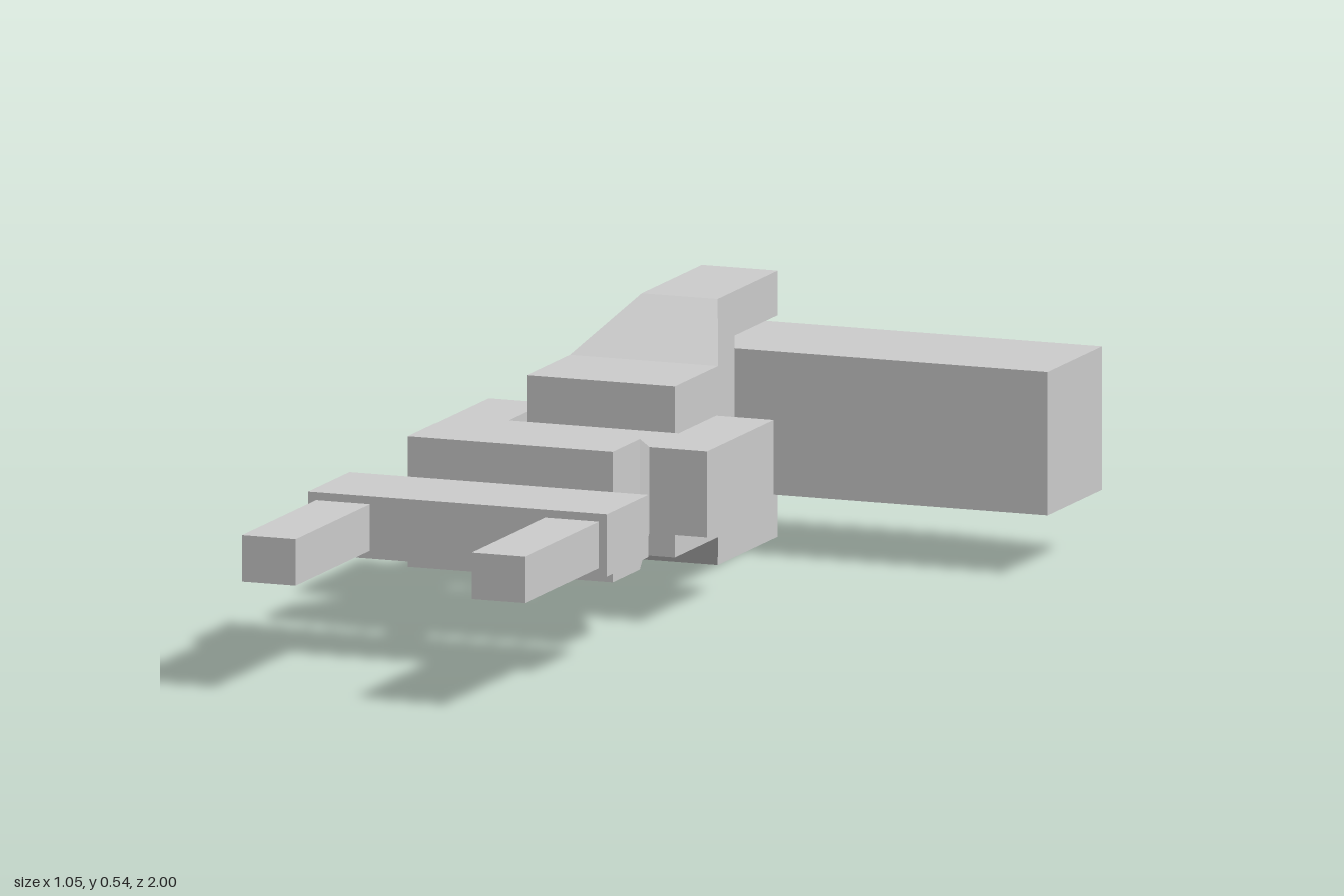
import * as THREE from 'three';

const CX = -0.21, CY = 0.27; // axis of the arm, running along z

function addMesh(parent, name, geometry) {
  const material = new THREE.MeshStandardMaterial({ color: 0xcccccc, flatShading: true });
  const mesh = new THREE.Mesh(geometry, material);
  mesh.name = name;
  parent.add(mesh);
  return mesh;
}

// Box given by its extents on each axis
function addBox(parent, name, [x0, x1], [y0, y1], [z0, z1]) {
  const mesh = addMesh(parent, name, new THREE.BoxGeometry(x1 - x0, y1 - y0, z1 - z0));
  mesh.position.set((x0 + x1) / 2, (y0 + y1) / 2, (z0 + z1) / 2);
}

// Capped body through rectangular sections [z, halfWidth, halfHeight], ordered by rising z
function loft(sections) {
  const rings = sections.map(([z, w, h]) =>
    [[-w, -h], [w, -h], [w, h], [-w, h]].map(([x, y]) => [CX + x, CY + y, z]));
  const pos = [];
  const quad = (a, b, c, d) => pos.push(...a, ...b, ...c, ...a, ...c, ...d);
  for (let i = 0; i < rings.length - 1; i++) {
    const back = rings[i], front = rings[i + 1];
    for (let k = 0; k < 4; k++) {
      const n = (k + 1) % 4;
      quad(back[k], back[n], front[n], front[k]);
    }
  }
  quad(...rings[rings.length - 1]);
  quad(...[...rings[0]].reverse());
  const geometry = new THREE.BufferGeometry();
  geometry.setAttribute('position', new THREE.Float32BufferAttribute(pos, 3));
  geometry.computeVertexNormals();
  return geometry;
}

// Extents mirrored about a centre
const around = (c, half) => [c - half, c + half];
const pair = (c, inner, outer) => [[c - outer, c - inner], [c + inner, c + outer]];

export function createModel() {
  const model = new THREE.Group();
  model.name = 'mechanicalArm';

  // Shoulder block the arm hangs from
  addBox(model, 'shoulderBlock', [-0.255, 0.525], [0.125, 0.415], [-1, -0.71]);

  // Upper arm: tapered body with a vertical clevis around the shoulder block
  const upperArm = new THREE.Group();
  upperArm.name = 'upperArm';
  model.add(upperArm);
  addMesh(upperArm, 'upperArmBody', loft([
    [-0.67, 0.081, 0.269], [-0.58, 0.081, 0.269], [-0.39, 0.158, 0.173], [-0.16, 0.158, 0.173]]));
  pair(CY, 0.179, 0.269).forEach((y, i) =>
    addBox(upperArm, i ? 'upperClevisArm' : 'lowerClevisArm', around(CX, 0.081), y, [-0.9, -0.67]));

  // Forearm: horizontal elbow fork, then a flared wrist block
  const forearm = new THREE.Group();
  forearm.name = 'forearm';
  model.add(forearm);
  addBox(forearm, 'elbowCrossbar', around(CX, 0.305), around(CY, 0.087), [-0.12, 0.035]);
  pair(CX, 0.182, 0.305).forEach((x, i) =>
    addBox(forearm, i ? 'leftElbowProng' : 'rightElbowProng', x, around(CY, 0.087), [-0.32, -0.12]));
  addMesh(forearm, 'wristBlock', loft([
    [0.035, 0.182, 0.087], [0.18, 0.22, 0.132], [0.325, 0.22, 0.132]]));

  // Gripper: pivot, palm and two fingers
  const gripper = new THREE.Group();
  gripper.name = 'gripper';
  model.add(gripper);
  addBox(gripper, 'wristPivot', around(CX, 0.025), around(CY, 0.025), [0.325, 0.385]);
  addBox(gripper, 'palm', around(CX, 0.32), around(CY, 0.063), [0.385, 0.605]);
  pair(CX, 0.188, 0.303).forEach((x, i) =>
    addBox(gripper, i ? 'leftFinger' : 'rightFinger', x, around(CY, 0.047), [0.605, 1]));

  return model;
}
